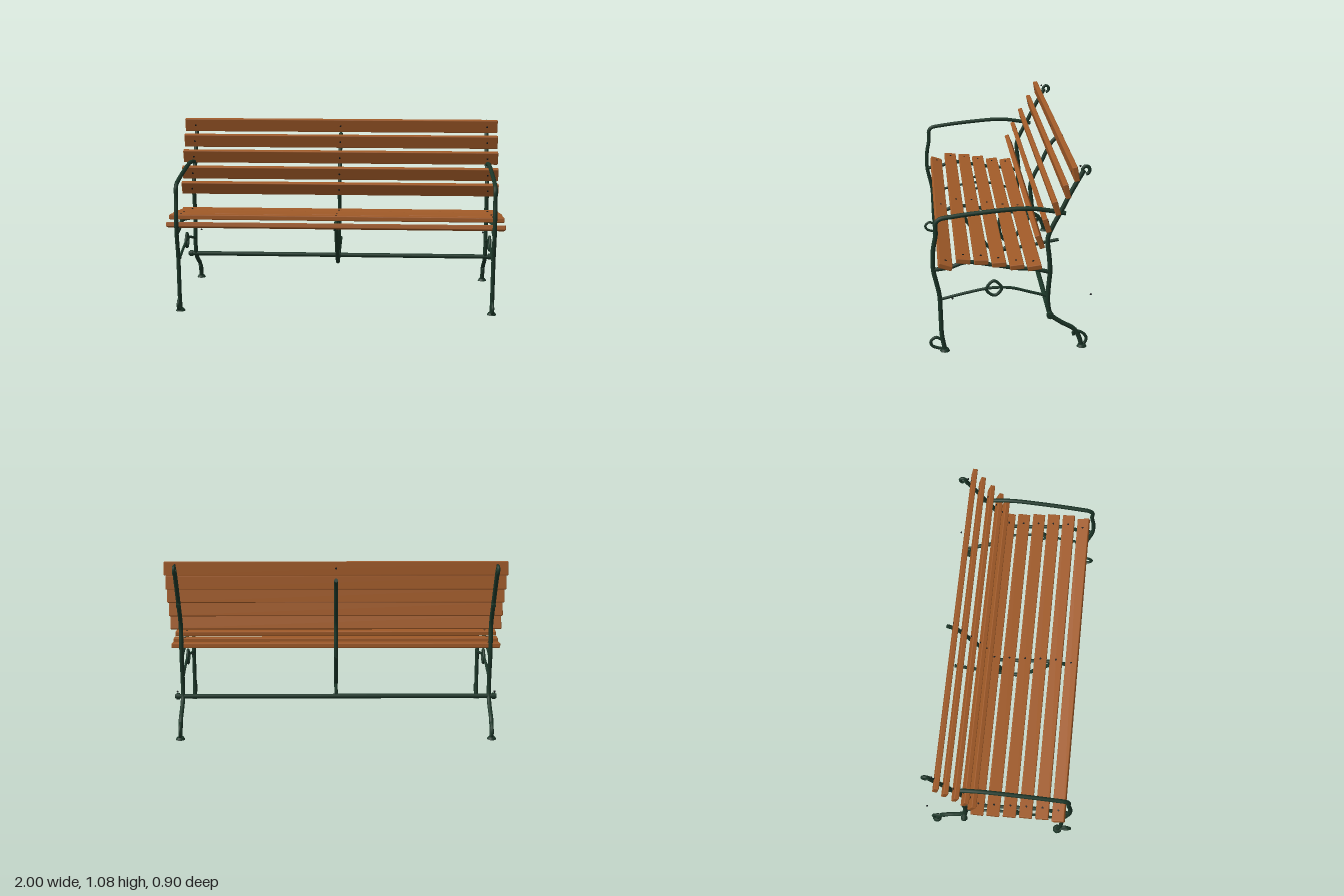
import * as THREE from 'three';
import { RoundedBoxGeometry } from 'three/addons/geometries/RoundedBoxGeometry.js';

const iron = new THREE.MeshStandardMaterial({ color: 0x1c3628 });
const wood = new THREE.MeshStandardMaterial({ color: 0xa05a28 });
const bolt = new THREE.MeshStandardMaterial({ color: 0x14181a });
const FRAME_X = 0.933;

function add(parent, name, geometry, material, x = 0, y = 0, z = 0) {
  const mesh = new THREE.Mesh(geometry, material);
  mesh.name = name;
  mesh.position.set(x, y, z);
  parent.add(mesh);
  return mesh;
}

// Bent round bar through [z, y] points in the plane x = 0, with flat end caps
function bar(parent, name, points, radius, closed = false) {
  const path = points.map(([z, y]) => new THREE.Vector3(0, y, z));
  const curve = new THREE.CatmullRomCurve3(path, closed, 'centripetal');
  const group = new THREE.Group();
  group.name = name;
  parent.add(group);
  add(group, name + 'Bar', new THREE.TubeGeometry(curve, points.length * 7, radius, 12, closed), iron);
  if (closed) return;
  for (const t of [0, 1]) {
    const p = curve.getPointAt(t);
    const cap = add(group, name + 'Cap', new THREE.CircleGeometry(radius, 12), iron, p.x, p.y, p.z);
    const out = curve.getTangentAt(t).multiplyScalar(t ? 1 : -1);
    cap.quaternion.setFromUnitVectors(new THREE.Vector3(0, 0, 1), out);
  }
}

const backLower = [[-0.217, 0.46], [-0.212, 0.54], [-0.202, 0.65], [-0.222, 0.71], [-0.268, 0.80], [-0.322, 0.91]];
const seatRail = [[0.42, 0.487], [0.33, 0.5], [0.245, 0.527], [0.1, 0.508], [-0.04, 0.483], [-0.125, 0.477], [-0.217, 0.455]];

// Cast iron frame at each end of the bench
function endFrame() {
  const g = new THREE.Group();
  bar(g, 'rearLegAndBack', [[-0.4, 0.008], [-0.385, 0.06], [-0.357, 0.108], [-0.28, 0.155], [-0.225, 0.2],
    [-0.208, 0.27], [-0.21, 0.37], ...backLower, [-0.39, 1.035]], 0.013);
  bar(g, 'topScroll', [[-0.383, 1.02], [-0.384, 1.043], [-0.398, 1.058], [-0.415, 1.053], [-0.421, 1.036],
    [-0.415, 1.02], [-0.402, 1.014]], 0.0095);
  bar(g, 'frontLegAndArm', [[0.365, 0.008], [0.381, 0.1], [0.385, 0.2], [0.391, 0.34], [0.408, 0.42], [0.422, 0.49],
    [0.421, 0.6], [0.406, 0.69], [0.405, 0.755], [0.385, 0.777], [0.32, 0.79], [0.13, 0.813], [-0.09, 0.827],
    [-0.2, 0.814], [-0.297, 0.795]], 0.0125);
  bar(g, 'seatRail', seatRail, 0.0115);
  bar(g, 'stretcher', [[0.385, 0.312], [0.25, 0.345], [0.11, 0.371], [0.0, 0.369], [-0.1, 0.343], [-0.21, 0.312]], 0.008);
  bar(g, 'stretcherRing', [[0.092, 0.413], [0.049, 0.372], [0.06, 0.345], [0.086, 0.327], [0.112, 0.336], [0.133, 0.365]], 0.0085, true);
  bar(g, 'frontFootScroll', [[0.383, 0.07], [0.415, 0.083], [0.443, 0.058], [0.434, 0.032], [0.4, 0.018], [0.37, 0.012]], 0.0085);
  bar(g, 'rearFootScroll', [[-0.355, 0.07], [-0.354, 0.092], [-0.385, 0.092], [-0.415, 0.073], [-0.427, 0.045],
    [-0.415, 0.02], [-0.395, 0.01]], 0.0085);
  for (const z of [0.365, -0.402]) add(g, 'foot', new THREE.CylinderGeometry(0.02, 0.028, 0.014, 16), iron, 0, 0.007, z);
  for (const [z, y] of [[0.32, 0.315], [-0.446, 0.315], [-0.371, 1.06]])
    add(g, 'smallBolt', new THREE.SphereGeometry(0.006, 8, 6), bolt, 0, y, z);
  return g;
}

// Middle support beneath the seat and behind the back
function middleFrame() {
  const g = new THREE.Group();
  g.name = 'middleFrame';
  bar(g, 'middleBack', [...backLower, [-0.352, 0.948], [-0.395, 0.974]], 0.012);
  bar(g, 'middleSeatRail', seatRail.slice(1), 0.0115);
  bar(g, 'middleBrace', [[0.243, 0.5], [0.16, 0.378], [0.065, 0.258], [0.025, 0.229], [-0.012, 0.222],
    [-0.05, 0.24], [-0.09, 0.285], [-0.15, 0.375], [-0.21, 0.46]], 0.012);
  bar(g, 'middleHook', [[-0.022, 0.475], [-0.008, 0.4], [-0.014, 0.34], [-0.035, 0.3], [-0.06, 0.29], [-0.08, 0.315], [-0.102, 0.362]], 0.0105);
  bar(g, 'rearStay', [[-0.01, 0.223], [-0.19, 0.25], [-0.385, 0.286]], 0.0105);
  return g;
}

// Wooden slat with bolts where it crosses each frame
function slat(parent, name, z, y, angle, width) {
  const g = new THREE.Group();
  g.name = name;
  add(g, name + 'Board', new RoundedBoxGeometry(2, width, 0.029, 2, 0.005), wood);
  for (const x of [-FRAME_X, 0, FRAME_X]) {
    const b = add(g, 'slatBolt', new THREE.CylinderGeometry(0.006, 0.006, 0.034, 8), bolt, x);
    b.rotation.x = Math.PI / 2;
  }
  g.position.set(0, y, z);
  g.rotation.x = THREE.MathUtils.degToRad(angle);
  parent.add(g);
}

export function createModel() {
  const bench = new THREE.Group();
  bench.name = 'bench';
  for (const side of [-1, 1]) {
    const frame = endFrame();
    frame.name = side > 0 ? 'leftFrame' : 'rightFrame';
    frame.position.x = side * FRAME_X;
    bench.add(frame);
    // Collar at the end of the cross rod
    const collar = add(bench, 'rodCollar', new THREE.CylinderGeometry(0.02, 0.02, 0.02, 16), iron, side * 0.963, 0.209, -0.218);
    collar.rotation.z = Math.PI / 2;
  }
  bench.add(middleFrame());

  const rod = add(bench, 'crossRod', new THREE.CylinderGeometry(0.014, 0.014, 1.96, 14), iron, 0, 0.209, -0.218);
  rod.rotation.z = Math.PI / 2;

  // Seat slats: z, y, upward tilt of the front edge
  const seat = [[0.358, 0.527, 18], [0.26, 0.557, 6], [0.163, 0.549, 1], [0.067, 0.532, -3], [-0.031, 0.515, -6], [-0.126, 0.508, -8]];
  for (const [z, y, tilt] of seat) slat(bench, 'seatSlat', z, y, 90 - tilt, 0.077);

  // Back slats: z, y, forward lean
  const back = [[-0.152, 0.657, 22], [-0.189, 0.749, 18], [-0.24, 0.845, 16], [-0.294, 0.938, 13], [-0.34, 1.033, 10]];
  for (const [z, y, lean] of back) slat(bench, 'backSlat', z, y, lean, 0.082);
  return bench;
}
